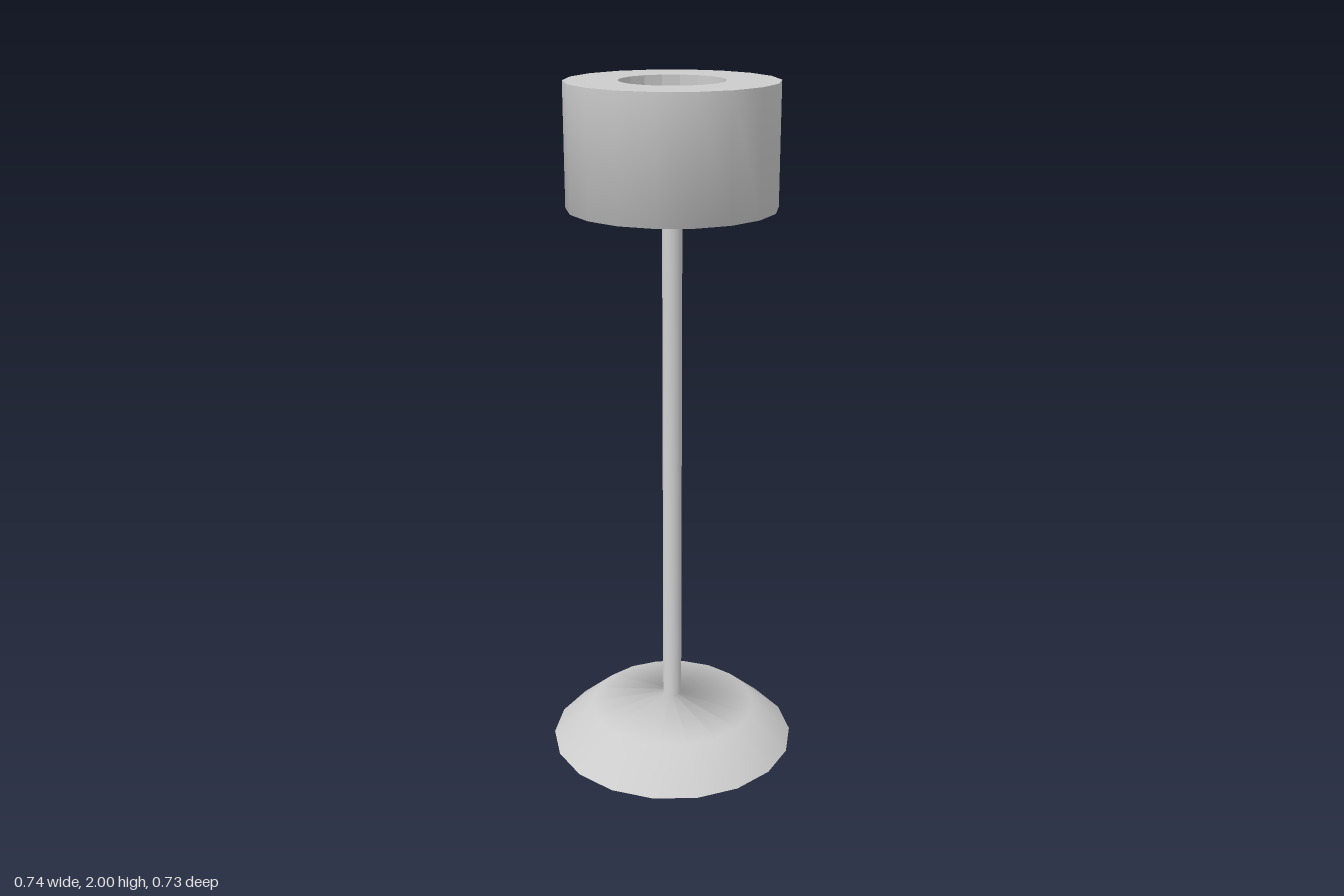
import * as THREE from 'three';

const SIDES = 18;

// Turned part; a corner of the polygon lies on the x axis.
function turned(name, profile, flatShading = false) {
  const points = profile.map(([r, y]) => new THREE.Vector2(r, y));
  const geometry = new THREE.LatheGeometry(points, SIDES, Math.PI / 2);
  const material = new THREE.MeshStandardMaterial({ color: 0xcccccc, flatShading });
  const mesh = new THREE.Mesh(geometry, material);
  mesh.name = name;
  return mesh;
}

export function createModel() {
  const lamp = new THREE.Group();
  lamp.name = 'floorLamp';

  // Foot and pole flow into each other in one smooth profile
  lamp.add(turned('footAndPole', [
    [0.37, 0], [0.25, 0.105], [0.028, 0.14], [0.028, 1.84], [0, 1.84],
  ]));
  lamp.add(turned('footUnderside', [[0, 0], [0.37, 0]]));

  // Thick ring-shaped shade, open through the middle
  const shade = new THREE.Group();
  shade.name = 'shade';
  const outer = 0.293, inner = 0.146, bottom = 1.66, top = 2;
  shade.add(turned('shadeOuter', [[inner, bottom], [outer, bottom], [outer, top]]));
  shade.add(turned('shadeTop', [[outer, top], [inner, top]]));
  shade.add(turned('shadeInner', [[inner, top], [inner, bottom]], true));
  lamp.add(shade);

  return lamp;
}
